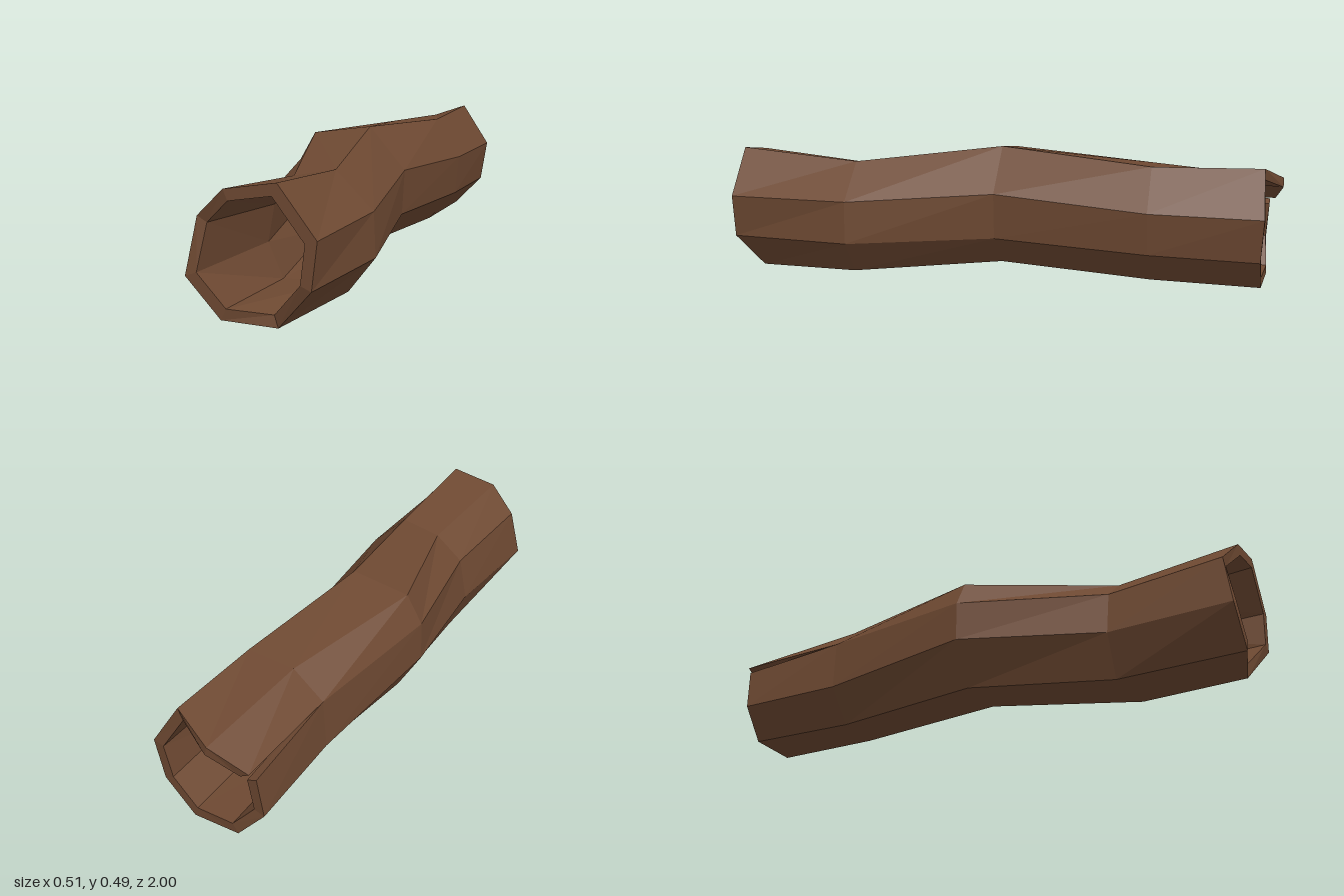
import * as THREE from 'three';

// Cross-sections from front to back: eight [x, y] corners, counter-clockwise
// from the upper left wall, with one z or a z for each corner.
const SECTIONS = [
  { z: [0.97, 1, 1, 0.95, 1, 1, 1, 1],
    p: [[-0.17, 0.335], [-0.2, 0.15], [-0.08, 0.022], [0.088, 0], [0.22, 0.14], [0.24, 0.295], [0.112, 0.46], [-0.065, 0.43]] },
  { z: 0.55,
    p: [[-0.14, 0.31], [-0.17, 0.15], [-0.105, 0], [0.157, 0.017], [0.253, 0.14], [0.247, 0.295], [0.115, 0.425], [-0.035, 0.395]] },
  { z: 0.01,
    p: [[-0.25, 0.353], [-0.253, 0.207], [-0.16, 0.055], [0.04, 0.058], [0.155, 0.17], [0.165, 0.335], [0.03, 0.49], [-0.19, 0.457]] },
  { z: -0.55,
    p: [[-0.18, 0.34], [-0.19, 0.16], [-0.09, 0.042], [0.08, 0.035], [0.19, 0.15], [0.205, 0.3], [0.11, 0.45], [-0.068, 0.435]] },
  { z: [-0.95, -0.94, -0.95, -0.94, -0.94, -0.95, -0.94, -1],
    p: [[-0.185, 0.3], [-0.2, 0.15], [-0.1, 0.04], [0.08, 0.03], [0.19, 0.145], [0.213, 0.3], [0.11, 0.46], [-0.04, 0.405]] },
];
const CRACK_TOP = [-0.172, 0.33, -0.97]; // upper lip of the crack at the back end
const HOLLOW = 0.82; // inner wall size relative to the bark

// Outer and inner corners of one section; the first corner repeats at the end as the seam
function makeRing({ z, p }, isLast) {
  const outer = p.map(([x, y], j) => new THREE.Vector3(x, y, Array.isArray(z) ? z[j] : z));
  const centre = outer.reduce((s, v) => s.add(v), new THREE.Vector3()).divideScalar(p.length);
  outer.push(isLast ? new THREE.Vector3(...CRACK_TOP) : outer[0].clone());
  const inner = outer.map((v) => new THREE.Vector3(
    centre.x + (v.x - centre.x) * HOLLOW, centre.y + (v.y - centre.y) * HOLLOW, v.z));
  return { outer, inner };
}

function quadMesh(name, quads, material) {
  const points = quads.flatMap(([a, b, c, d]) => [a, b, c, a, c, d]);
  const geometry = new THREE.BufferGeometry().setFromPoints(points);
  geometry.computeVertexNormals();
  const mesh = new THREE.Mesh(geometry, material);
  mesh.name = name;
  return mesh;
}

export function createModel() {
  const wood = new THREE.MeshStandardMaterial({ color: 0x6e4932 });
  wood.name = 'brown wood';

  const rings = SECTIONS.map((s, i) => makeRing(s, i === SECTIONS.length - 1));
  const last = rings.length - 1;
  const sides = SECTIONS[0].p.length;
  const bark = [], hollow = [], frontRim = [], backRim = [];

  for (let j = 0; j < sides; j++) {
    const k = j + 1;
    for (let i = 0; i < last; i++) {
      const f = rings[i], b = rings[i + 1];
      bark.push([f.outer[j], b.outer[j], b.outer[k], f.outer[k]]);
      hollow.push([f.inner[j], f.inner[k], b.inner[k], b.inner[j]]);
    }
    const f = rings[0], b = rings[last];
    frontRim.push([f.outer[j], f.outer[k], f.inner[k], f.inner[j]]);
    backRim.push([b.outer[j], b.inner[j], b.inner[k], b.outer[k]]);
  }

  // Lips of the tapering crack in the back end
  const f = rings[last - 1], b = rings[last];
  const crack = [
    [f.outer[0], f.inner[0], b.inner[0], b.outer[0]],
    [f.outer[sides], b.outer[sides], b.inner[sides], f.inner[sides]],
  ];

  const log = new THREE.Group();
  log.name = 'hollowLog';
  log.add(
    quadMesh('bark', bark, wood),
    quadMesh('hollowInside', hollow, wood),
    quadMesh('frontRim', frontRim, wood),
    quadMesh('backRim', backRim, wood),
    quadMesh('crackLips', crack, wood),
  );
  return log;
}
